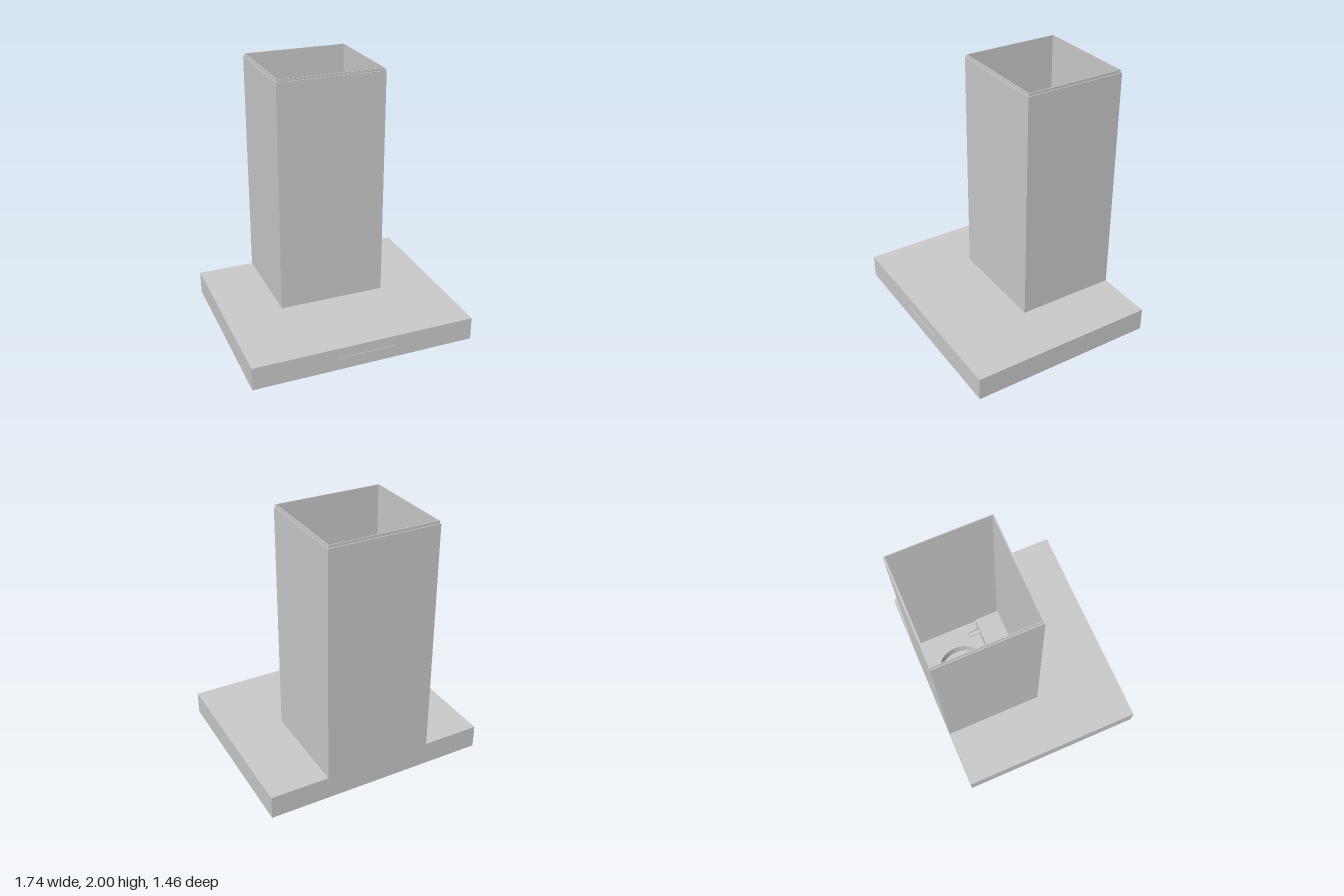
import * as THREE from 'three';

const mat = new THREE.MeshStandardMaterial({ color: 0xcccccc });

export function createModel() {
  const group = new THREE.Group();

  const add = (name, geometry) => {
    const mesh = new THREE.Mesh(geometry, mat);
    mesh.name = name;
    group.add(mesh);
    return mesh;
  };

  // Axis-aligned block given by its limits
  const block = (name, x0, x1, y0, y1, z0, z1) =>
    add(name, new THREE.BoxGeometry(x1 - x0, y1 - y0, z1 - z0)
      .translate((x0 + x1) / 2, (y0 + y1) / 2, (z0 + z1) / 2));

  const rect = (x0, x1, z0, z1, Type = THREE.Shape) => new Type([
    new THREE.Vector2(x0, -z1), new THREE.Vector2(x1, -z1),
    new THREE.Vector2(x1, -z0), new THREE.Vector2(x0, -z0)]);

  const circle = (Type, x, z, r) => new Type().absarc(x, -z, r, 0, Math.PI * 2);

  // Raises a floor-plan shape from y0 to y1
  const raise = (name, shape, y0, y1) =>
    add(name, new THREE.ExtrudeGeometry(shape, { depth: y1 - y0, bevelEnabled: false, curveSegments: 32 })
      .rotateX(-Math.PI / 2).translate(0, y0, 0));

  // Hollow rectangular wall of thickness t
  const frame = (name, x, z0, z1, t, y0, y1) => {
    const shape = rect(-x, x, z0, z1);
    shape.holes.push(rect(-x + t, x - t, z0 + t, z1 - t, THREE.Path));
    raise(name, shape, y0, y1);
  };

  // Canopy with a shallow recess underneath
  block('canopy', -0.87, 0.87, 0.02, 0.18, -0.73, 0.725);
  frame('canopyRim', 0.87, -0.73, 0.725, 0.055, 0, 0.02);

  // Telescoping chimney: outer cover and inner sleeve
  frame('chimneyCover', 0.42, -0.73, 0.055, 0.007, 0.18, 1.98);
  frame('chimneySleeve', 0.412, -0.723, 0.048, 0.006, 0.18, 2);

  // Control strip on the front edge
  block('controlStrip', -0.22, 0.22, 0.08, 0.1, 0.725, 0.73);

  // Light panel with two round lamp openings
  const panel = rect(-0.81, 0.81, 0.415, 0.665);
  for (const x of [-0.36, 0.36]) panel.holes.push(circle(THREE.Path, x, 0.5, 0.075));
  raise('lightPanel', panel, 0.006, 0.02);

  // Grease filters, latches and lamps, one of each per side
  for (const s of [-1, 1]) {
    const mid = s * 0.4075;
    block('greaseFilter', mid - 0.4025, mid + 0.4025, 0.008, 0.02, -0.67, 0.405);
    block('filterLatch', mid - 0.05, mid + 0.05, 0.004, 0.008, 0.255, 0.305);
    raise('lampGlass', circle(THREE.Shape, s * 0.36, 0.5, 0.07), 0.014, 0.02);
  }

  // Air outlet collar, electronics box and cable gland inside the chimney
  const collar = circle(THREE.Shape, 0, -0.42, 0.217);
  collar.holes.push(circle(THREE.Path, 0, -0.42, 0.21));
  raise('outletCollar', collar, 0.18, 0.3);
  block('electronicsBox', -0.36, 0.36, 0.18, 0.34, -0.17, 0.03);
  add('cableGland', new THREE.CylinderGeometry(0.022, 0.022, 0.09, 20)
    .rotateX(Math.PI / 2).translate(0.283, 0.26, -0.215));

  return group;
}
